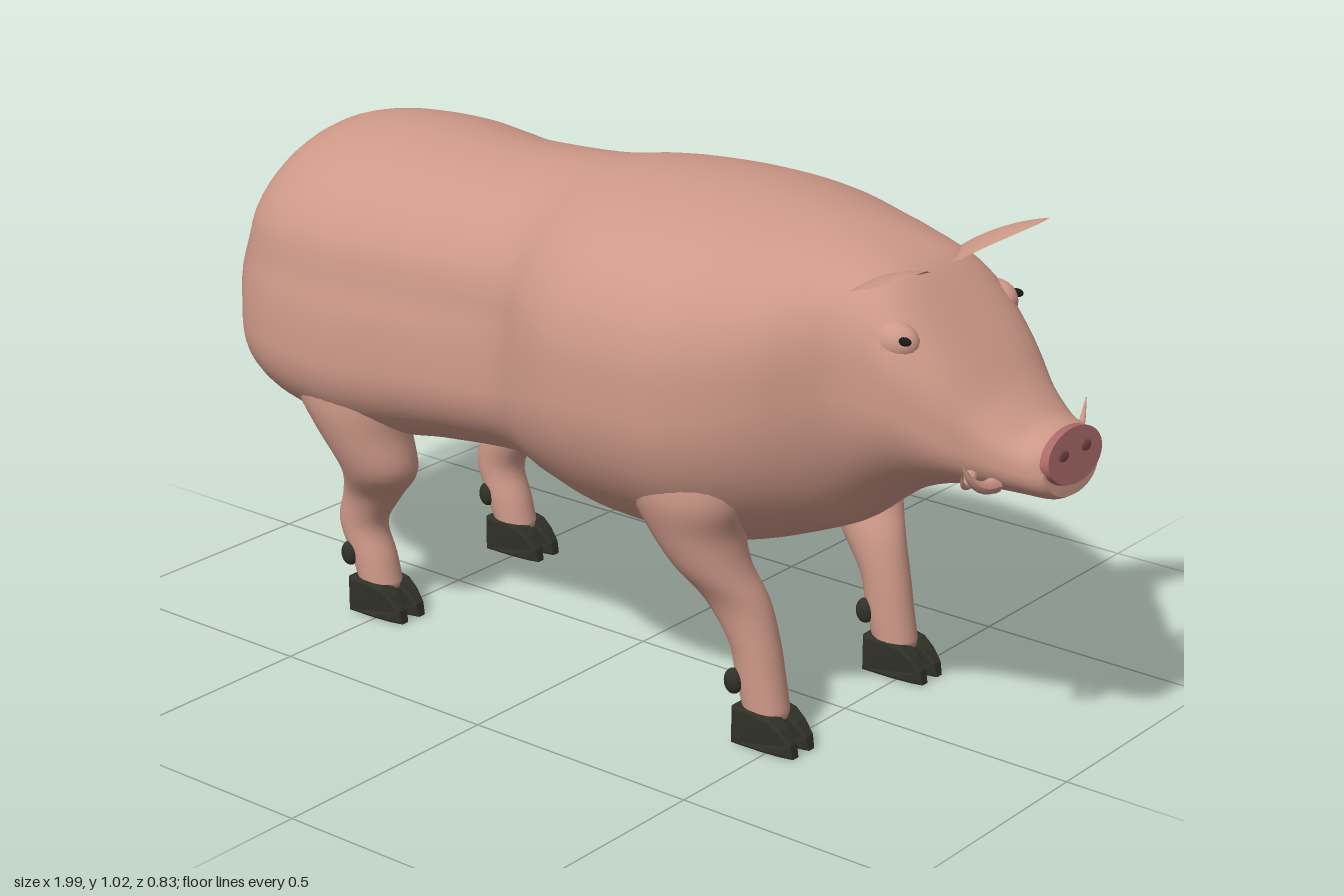
import * as THREE from 'three';

const mat = (name, color, side = THREE.FrontSide) => {
  const m = new THREE.MeshStandardMaterial({ color, side });
  m.name = name;
  return m;
};

// Smooth closed skin over equal-length rings of points, with capped ends
function loft(rings) {
  const n = rings[0].length, pos = [], idx = [];
  rings.forEach(r => r.forEach(p => pos.push(...p)));
  for (let i = 0; i < rings.length - 1; i++) {
    for (let j = 0; j < n; j++) {
      const k = (j + 1) % n, a = i * n + j, b = i * n + k;
      idx.push(a, a + n, b + n, a, b + n, b);
    }
  }
  [0, rings.length - 1].forEach((i, end) => {
    const c = pos.length / 3;
    pos.push(...[0, 1, 2].map(q => rings[i].reduce((s, p) => s + p[q], 0) / n));
    for (let j = 0; j < n; j++) {
      const a = i * n + j, b = i * n + (j + 1) % n;
      idx.push(c, ...(end ? [b, a] : [a, b]));
    }
  });
  const g = new THREE.BufferGeometry();
  g.setAttribute('position', new THREE.Float32BufferAttribute(pos, 3));
  g.setIndex(idx);
  g.computeVertexNormals();
  return g;
}

// Spline-interpolate rows of five numbers
function smoothRows(rows, steps) {
  const curve = pick => new THREE.CatmullRomCurve3(rows.map(pick), false, 'catmullrom', 0.5);
  const a = curve(r => new THREE.Vector3(r[0], r[1], r[2]));
  const b = curve(r => new THREE.Vector3(r[3], r[4], 0));
  return Array.from({ length: steps + 1 }, (_, i) => {
    const p = a.getPoint(i / steps), q = b.getPoint(i / steps);
    return [p.x, p.y, p.z, q.x, q.y];
  });
}

const angles = n => Array.from({ length: n }, (_, j) => (j / n) * Math.PI * 2);
const power = (v, e) => Math.sign(v) * Math.pow(Math.abs(v), e);
const { smoothstep, lerp } = THREE.MathUtils;

// Rows: x, top y, bottom y, half width, height of widest point
const BODY = [
  [-0.938, 0.66, 0.57, 0.06, 0.6], [-0.928, 0.75, 0.52, 0.13, 0.6],
  [-0.9, 0.825, 0.485, 0.2, 0.595], [-0.85, 0.895, 0.44, 0.255, 0.59],
  [-0.78, 0.955, 0.41, 0.315, 0.585], [-0.68, 0.987, 0.385, 0.355, 0.58],
  [-0.54, 0.995, 0.37, 0.372, 0.58], [-0.43, 0.988, 0.375, 0.355, 0.58],
  [-0.33, 0.982, 0.388, 0.337, 0.585], [-0.12, 0.993, 0.405, 0.335, 0.6],
  [0, 1.01, 0.37, 0.38, 0.63], [0.1, 1.016, 0.342, 0.408, 0.65],
  [0.22, 1.017, 0.333, 0.412, 0.66], [0.33, 1.01, 0.335, 0.402, 0.66],
  [0.42, 0.998, 0.358, 0.365, 0.67], [0.5, 0.985, 0.388, 0.315, 0.69],
  [0.56, 0.972, 0.415, 0.265, 0.71], [0.61, 0.958, 0.455, 0.228, 0.73],
  [0.67, 0.932, 0.5, 0.21, 0.72], [0.73, 0.878, 0.53, 0.203, 0.71],
  [0.8, 0.805, 0.552, 0.175, 0.67], [0.86, 0.74, 0.556, 0.14, 0.645],
  [0.92, 0.698, 0.558, 0.115, 0.625], [0.958, 0.69, 0.558, 0.1, 0.62],
  [0.976, 0.684, 0.566, 0.088, 0.622],
];

// Sloping back and shallow flank groove on the trunk, boxier brow, tilted snout end
function bodyGeometry() {
  return loft(smoothRows(BODY, 110).map(([x, top, bot, w, mid]) => {
    const head = smoothstep(x, 0.45, 0.72) - smoothstep(x, 0.78, 0.92);
    const rear = 1 - smoothstep(x, -0.2, 0.1);
    const low = lerp(0.95, 0.88, rear), tilt = 0.18 * smoothstep(x, 0.88, 0.97);
    return angles(64).map(a => {
      const s = Math.sin(a), c = Math.cos(a), up = s > 0;
      const y = mid + power(s, up ? lerp(0.7, 0.62, head) : low) * (up ? top - mid : mid - bot);
      const groove = 1 - 0.04 * rear * Math.exp(-Math.pow((y - 0.735) / 0.05, 2));
      return [x + tilt * (0.637 - y), y, groove * w * power(c, up ? lerp(1.1, 0.62, head) : low)];
    });
  }));
}

// Rows: y, back x, front x, centre z, half width
const FRONT_LEG = [
  [0.64, 0.16, 0.41, 0.25, 0.08], [0.56, 0.17, 0.44, 0.265, 0.092],
  [0.49, 0.2, 0.447, 0.267, 0.096], [0.42, 0.24, 0.43, 0.257, 0.087],
  [0.35, 0.285, 0.44, 0.245, 0.072],
  [0.28, 0.335, 0.47, 0.22, 0.055], [0.2, 0.388, 0.49, 0.212, 0.047],
  [0.13, 0.405, 0.503, 0.21, 0.045], [0.06, 0.425, 0.515, 0.21, 0.043],
];
const HIND_LEG = [
  [0.64, -0.71, -0.39, 0.23, 0.08], [0.56, -0.7, -0.395, 0.245, 0.092],
  [0.49, -0.675, -0.41, 0.253, 0.096], [0.42, -0.625, -0.415, 0.252, 0.088],
  [0.33, -0.575, -0.405, 0.24, 0.07],
  [0.26, -0.6, -0.465, 0.215, 0.052], [0.19, -0.617, -0.51, 0.212, 0.046],
  [0.12, -0.59, -0.49, 0.21, 0.045], [0.06, -0.565, -0.475, 0.21, 0.043],
];

function legGeometry(rows) {
  return loft(smoothRows(rows, 40).map(([y, x0, x1, zc, rz]) => angles(28).map(a =>
    [(x0 + x1) / 2 + Math.cos(a) * (x1 - x0) / 2, y, zc - Math.sin(a) * rz])));
}

// One toe of the cloven hoof, extruded from its side outline and narrowed to the tip
function toeGeometry() {
  const s = new THREE.Shape([[0.006, 0.006], [0.07, 0.006], [0.11, 0.006], [0.131, 0.006], [0.127, 0.025],
    [0.107, 0.048], [0.085, 0.064], [0.05, 0.07], [0.006, 0.07]].map(p => new THREE.Vector2(...p)));
  const g = new THREE.ExtrudeGeometry(s, { depth: 0.033, bevelSize: 0.006, bevelThickness: 0.006, bevelSegments: 2 });
  g.translate(0, 0, -0.0165);
  const p = g.attributes.position;
  for (let i = 0; i < p.count; i++) p.setZ(i, p.getZ(i) * (1 - 0.5 * Math.pow(Math.max(p.getX(i), 0) / 0.137, 4)));
  g.computeVertexNormals();
  return g;
}

// Tube along points whose radius follows a rule of t
function taperedTube(points, radius, steps = 24, sides = 10) {
  const path = new THREE.CatmullRomCurve3(points.map(p => new THREE.Vector3(...p)));
  const g = new THREE.TubeGeometry(path, steps, 1, sides);
  const p = g.attributes.position, v = new THREE.Vector3();
  for (let i = 0; i < p.count; i++) {
    const t = Math.floor(i / (sides + 1)) / steps, c = path.getPointAt(t);
    v.fromBufferAttribute(p, i).sub(c).multiplyScalar(radius(t)).add(c);
    p.setXYZ(i, v.x, v.y, v.z);
  }
  g.computeVertexNormals();
  return g;
}

// Cupped pointed leaf: runs outward along z, rising to the front
function earGeometry(side) {
  const g = new THREE.PlaneGeometry(1, 1, 12, 20), p = g.attributes.position;
  for (let i = 0; i < p.count; i++) {
    const u = p.getX(i) * 2, t = p.getY(i) + 0.5;
    const bulge = Math.max(0, Math.sin(Math.PI * Math.pow(t, 1.4)));
    const w = 0.012 * (1 - t) + 0.068 * Math.pow(bulge, 0.85);
    const x = 0.688 - 0.012 * bulge + 0.06 * t * t * t + u * w;
    const y = 0.928 + 0.042 * t + u * w * 0.42 + 0.014 * (1 - u * u) * bulge - 0.01 * bulge;
    p.setXYZ(i, x, y, side * (0.05 + 0.21 * t));
  }
  if (side < 0) g.index.array.reverse();
  g.computeVertexNormals();
  return g;
}

export function createModel() {
  const skin = mat('skin', 0xcd9888);
  const skinThin = mat('earSkin', 0xcd9888, THREE.DoubleSide);
  const snoutMat = mat('snout', 0xaa6a67);
  const nostrilMat = mat('nostril', 0x744445);
  const horn = mat('hoof', 0x303128);
  const eyeMat = mat('eye', 0x1c1a18);

  const model = new THREE.Group();
  model.name = 'boar';
  const add = (name, geo, m, parent = model) => {
    const mesh = new THREE.Mesh(geo, m);
    mesh.name = name;
    parent.add(mesh);
    return mesh;
  };
  const ball = (name, m, at, size, parent) => {
    const b = add(name, new THREE.SphereGeometry(1, 20, 14), m, parent);
    b.position.set(...at);
    b.scale.set(...size);
    return b;
  };

  add('body', bodyGeometry(), skin);

  // Snout disc, tilted slightly upward, with nostrils
  const snout = new THREE.Group();
  snout.name = 'snout';
  snout.position.set(0.978, 0.637, 0);
  snout.rotation.z = 0.18;
  model.add(snout);
  const disc = add('snoutDisc', new THREE.CylinderGeometry(0.96, 1, 0.016, 40).rotateZ(-Math.PI / 2), snoutMat, snout);
  disc.scale.set(1, 0.052, 0.092);
  for (const s of [1, -1]) ball('nostril', nostrilMat, [0.008, 0.008, s * 0.037], [0.003, 0.01, 0.016], snout);

  // Tail with a small tuft near the tip
  add('tail', taperedTube([[-0.88, 0.815, 0], [-0.935, 0.78, -0.005], [-0.975, 0.7, -0.01], [-0.983, 0.6, -0.01],
    [-0.975, 0.5, -0.01], [-0.952, 0.365, -0.01]],
  t => t < 0.6 ? 0.028 - 0.03 * t : 0.01 + 0.009 * Math.sin((t - 0.6) / 0.4 * Math.PI)), skin);

  const legs = [
    ['frontLeg', legGeometry(FRONT_LEG), 0.42], ['hindLeg', legGeometry(HIND_LEG), -0.57],
  ];
  const toe = toeGeometry();
  for (const s of [1, -1]) {
    // Legs, hooves and dewclaws
    for (const [name, geo, x] of legs) {
      const leg = new THREE.Group();
      leg.name = name;
      model.add(leg);
      const g = geo.clone();
      if (s < 0) {
        g.scale(1, 1, -1);
        g.index.array.reverse();
        g.computeVertexNormals();
      }
      add(name + 'Skin', g, skin, leg);
      for (const d of [-1, 1]) {
        add('toe', toe, horn, leg).position.set(x, 0, s * 0.212 + d * 0.025);
        ball('dewclaw', horn, [x, 0.125, s * 0.212 + d * 0.038], [0.02, 0.026, 0.015], leg);
      }
    }

    add('ear', earGeometry(s), skinThin);

    // Eyes under soft brows
    ball('brow', skin, [0.7, 0.832, s * 0.158], [0.05, 0.038, 0.036]);
    ball('eye', eyeMat, [0.737, 0.844, s * 0.18], [0.013, 0.008, 0.008]);

    // Two tusks on each side
    add('lowerTusk', taperedTube([[0.89, 0.592, s * 0.11], [0.89, 0.598, s * 0.15], [0.885, 0.62, s * 0.182],
      [0.878, 0.665, s * 0.207]], t => 0.015 * (1 - t) + 0.001), skin);
    add('upperTusk', taperedTube([[0.85, 0.61, s * 0.125], [0.865, 0.6, s * 0.16], [0.872, 0.608, s * 0.185],
      [0.878, 0.63, s * 0.2]], t => 0.013 * (1 - t) + 0.001), skin);
  }
  return model;
}
